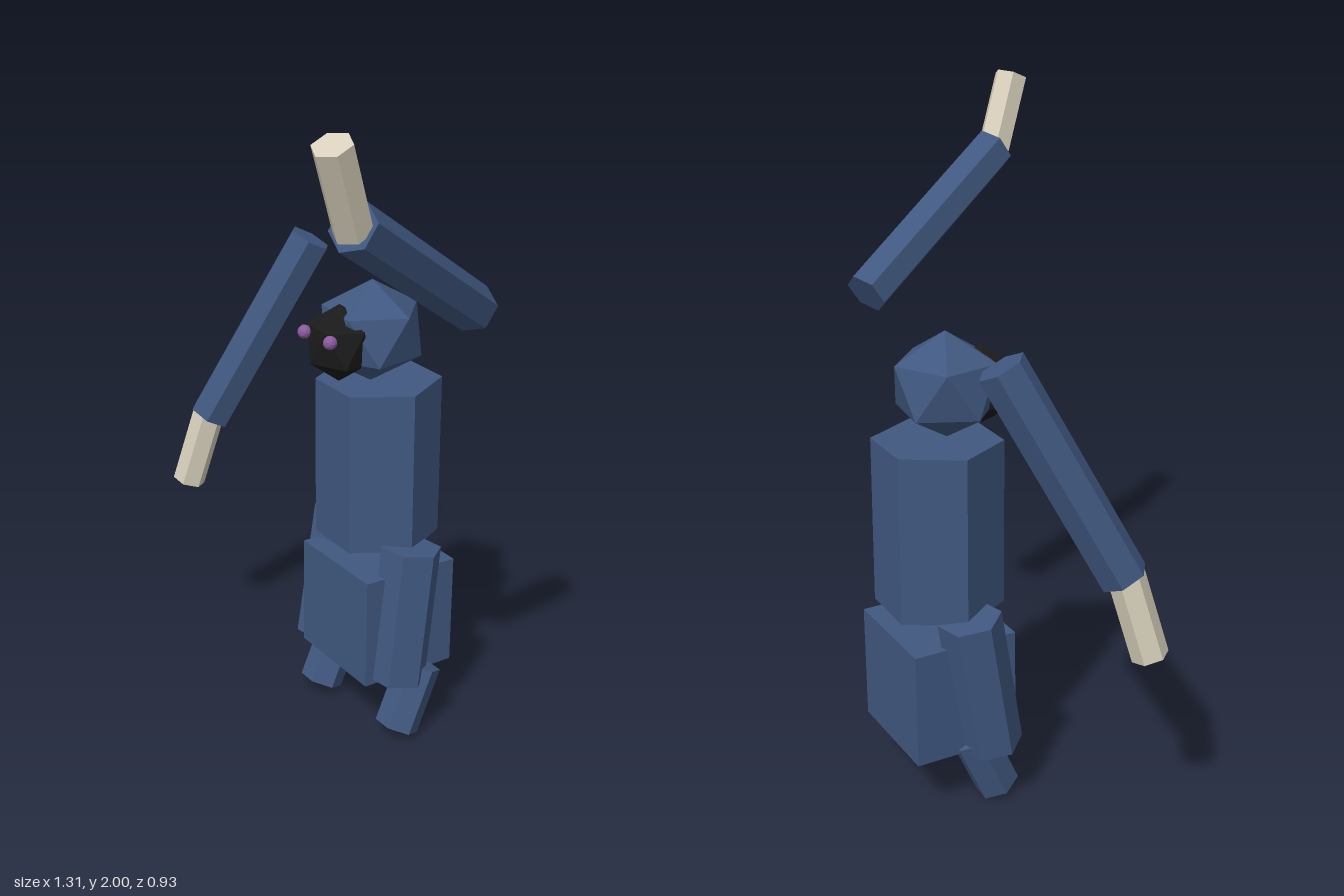
import * as THREE from 'three';
import { ConvexGeometry } from 'three/addons/geometries/ConvexGeometry.js';

const mat = (name, color) => {
  const m = new THREE.MeshStandardMaterial({ color, flatShading: true });
  m.name = name;
  return m;
};
const V = (p) => new THREE.Vector3(...p);
const rad = THREE.MathUtils.degToRad;

// Six-sided prism running from a to b
function prism(name, a, b, radius, material, spin = 0) {
  const from = V(a), to = V(b);
  const dir = to.clone().sub(from);
  const geo = new THREE.CylinderGeometry(radius, radius, dir.length(), 6);
  geo.rotateY(rad(spin));
  const mesh = new THREE.Mesh(geo, material);
  mesh.name = name;
  mesh.quaternion.setFromUnitVectors(new THREE.Vector3(0, 1, 0), dir.normalize());
  mesh.position.copy(from).add(to).multiplyScalar(0.5);
  return mesh;
}

// Twenty-sided ball standing on a corner, with two staggered rings of five
function ball(name, pos, rx, ry, rz, firstAngle, material) {
  const pts = [V([0, ry, 0]), V([0, -ry, 0])];
  for (let i = 0; i < 10; i++) {
    const a = rad(firstAngle + i * 36);
    const y = (i % 2 ? -0.447 : 0.447) * ry;
    pts.push(V([0.894 * rx * Math.cos(a), y, 0.894 * rz * Math.sin(a)]));
  }
  const mesh = new THREE.Mesh(new ConvexGeometry(pts), material);
  mesh.name = name;
  mesh.position.set(...pos);
  return mesh;
}

export function createModel() {
  const group = new THREE.Group();
  group.name = 'robedFigure';
  const cloth = mat('blue cloth', 0x405880);
  const skin = mat('pale hand', 0xd8d0bc);
  const dark = mat('dark face', 0x1a1a1a);
  const purple = mat('purple eye', 0x8a5aa0);

  // Torso and hips, turned slightly to the right
  group.add(prism('torso', [0.035, 0.6, -0.278], [0.035, 1.1, -0.273], 0.188, cloth, 21));
  const hips = new THREE.Mesh(new THREE.BoxGeometry(0.35, 0.35, 0.32), cloth);
  hips.name = 'hips';
  hips.position.set(0.04, 0.355, -0.28);
  hips.rotation.y = rad(-8);
  group.add(hips);

  // Head, face and eyes
  group.add(ball('head', [0.035, 1.255, -0.24], 0.166, 0.155, 0.166, -3, cloth));
  group.add(ball('face', [0.023, 1.238, -0.125], 0.115, 0.117, 0.1, -3, dark));
  for (const [name, x, z] of [['rightEye', -0.045, -0.052], ['leftEye', 0.078, -0.042]]) {
    const eye = new THREE.Mesh(new THREE.IcosahedronGeometry(0.021, 1), purple);
    eye.name = name;
    eye.position.set(x, 1.27, z);
    group.add(eye);
  }

  // Legs
  group.add(
    prism('rightThigh', [-0.14, 0.615, -0.295], [-0.143, 0.187, -0.225], 0.093, cloth, 21),
    prism('leftThigh', [0.215, 0.615, -0.252], [0.212, 0.187, -0.205], 0.093, cloth, 21),
    prism('rightShin', [-0.112, 0.218, -0.275], [-0.12, 0.025, -0.19], 0.068, cloth, 30),
    prism('leftShin', [0.242, 0.218, -0.275], [0.235, 0.025, -0.19], 0.068, cloth, 30),
  );

  // Floating arms: right one hangs, left one is raised forward
  group.add(
    prism('rightArm', [-0.362, 1.43, -0.345], [-0.56, 0.845, -0.09], 0.068, cloth),
    prism('rightHand', [-0.56, 0.865, -0.09], [-0.612, 0.615, -0.037], 0.052, skin),
    prism('leftArm', [0.445, 1.422, -0.235], [0.572, 1.767, 0.325], 0.068, cloth),
    prism('leftHand', [0.573, 1.755, 0.325], [0.606, 1.978, 0.422], 0.052, skin),
  );
  return group;
}
